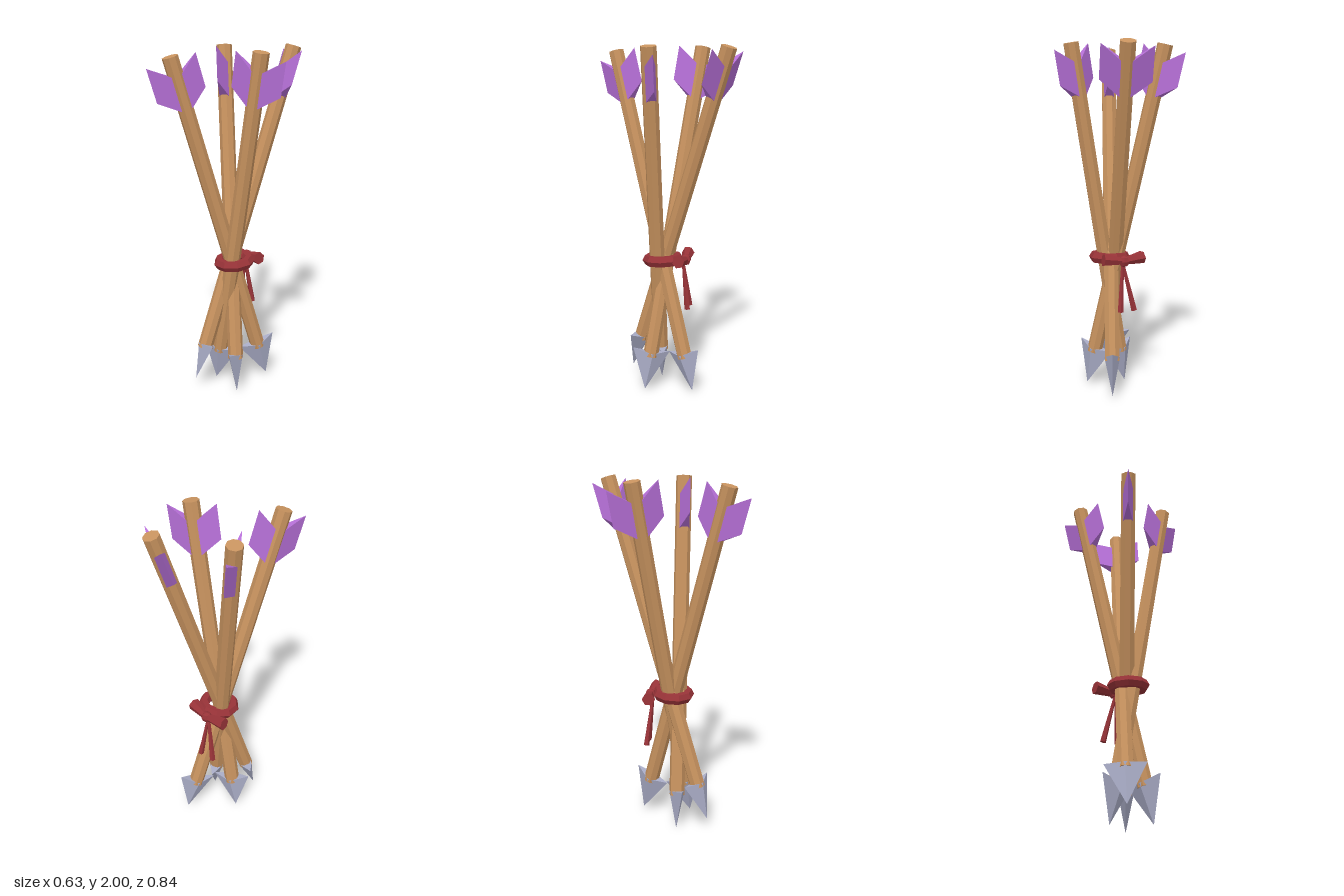
import * as THREE from 'three';

const paint = (name, color) => {
  const m = new THREE.MeshStandardMaterial({ color, flatShading: true });
  m.name = name;
  return m;
};
const V = (x, y, z) => new THREE.Vector3(x, y, z);

// Four-cornered section: wide corners on x at height yWide, thick corners on z at height yMid
const ring = (w, t, yWide, yMid) => [V(w, yWide, 0), V(0, yMid, t), V(-w, yWide, 0), V(0, yMid, -t)];

// Closed solid between two such sections, skipping faces that collapse to a point
function loft(bottom, top) {
  const tris = [
    [bottom[0], bottom[1], bottom[3]], [bottom[2], bottom[3], bottom[1]],
    [top[0], top[3], top[1]], [top[2], top[1], top[3]],
  ];
  for (let i = 0; i < 4; i++) {
    const j = (i + 1) % 4;
    tris.push([bottom[i], top[i], top[j]], [bottom[i], top[j], bottom[j]]);
  }
  const solid = tris.filter((t) => new THREE.Triangle(...t).getArea() > 1e-9);
  const g = new THREE.BufferGeometry().setFromPoints(solid.flat());
  g.computeVertexNormals();
  return g;
}

// Tapered round bar from a to b
function bar(a, b, ra, rb, sides) {
  const dir = b.clone().sub(a);
  const g = new THREE.CylinderGeometry(rb, ra, dir.length(), sides);
  g.applyQuaternion(new THREE.Quaternion().setFromUnitVectors(V(0, 1, 0), dir.normalize()));
  const c = a.clone().add(b).multiplyScalar(0.5);
  return g.translate(c.x, c.y, c.z);
}

export function createModel() {
  const wood = paint('wood', 0xc8935f);
  const feather = paint('purple feather', 0xb56fd6);
  const metal = paint('pale metal', 0xabaec8);
  const cord = paint('red cord', 0x983338);

  const model = new THREE.Group();
  model.name = 'arrowBundle';
  const add = (parent, name, geometry, material) => {
    const mesh = new THREE.Mesh(geometry, material);
    mesh.name = name;
    parent.add(mesh);
    return mesh;
  };

  // One arrow, standing on its tip
  const L = 2.015;
  const shaftGeo = new THREE.CylinderGeometry(0.044, 0.044, L - 0.2, 8);
  shaftGeo.rotateY(Math.PI / 8).translate(0, (L + 0.2) / 2, 0);
  const headGeo = loft(ring(0, 0, 0, 0), ring(0.112, 0.045, 0.24, 0.22));
  const vaneGeo = loft(ring(0.138, 0.036, L - 0.21, L - 0.31), ring(0.138, 0.036, L - 0.02, L - 0.12));

  // Tip, nock end, and direction in which the barbs and vanes spread
  const arrows = [
    [V(-0.165, 0.075, 0.22), V(0.088, 1.985, -0.35), V(0.83, 0, 0.55)],
    [V(0.06, 0.02, 0.11), V(-0.268, 1.975, -0.178), V(0.38, 0, 0.92)],
    [V(-0.16, 0.008, 0.04), V(0.183, 1.993, 0.06), V(0.95, 0, -0.3)],
    [V(0.06, 0.028, -0.17), V(-0.217, 1.965, 0.312), V(0.52, 0, -0.86)],
  ];
  for (const [tip, end, spread] of arrows) {
    const y = end.clone().sub(tip).normalize();
    const x = spread.clone().addScaledVector(y, -spread.dot(y)).normalize();
    const z = x.clone().cross(y);
    const arrow = new THREE.Group();
    arrow.name = 'arrow';
    arrow.position.copy(tip);
    arrow.quaternion.setFromRotationMatrix(new THREE.Matrix4().makeBasis(x, y, z));
    add(arrow, 'shaft', shaftGeo, wood);
    add(arrow, 'arrowhead', headGeo, metal);
    add(arrow, 'fletching', vaneGeo, feather);
    model.add(arrow);
  }

  // Cord around the middle
  const tie = new THREE.Group();
  tie.name = 'tie';
  model.add(tie);
  const loop = add(tie, 'cordRing', new THREE.TorusGeometry(0.087, 0.033, 6, 9), cord);
  loop.rotation.set(Math.PI / 2 + 0.06, 0.06, 0);
  loop.position.set(-0.037, 0.793, 0.015);

  // Knot with two bow loops and two hanging tails at the back
  const knot = V(-0.05, 0.79, -0.115);
  add(tie, 'knot', new THREE.SphereGeometry(0.033, 6, 4).translate(knot.x, knot.y, knot.z), cord);
  for (const p of [V(-0.175, 0.8, -0.115), V(0.068, 0.806, -0.085)]) {
    add(tie, 'bowLoop', bar(knot, p, 0.02, 0.037, 6), cord);
  }
  for (const p of [V(-0.107, 0.5, -0.135), V(-0.017, 0.5, -0.13)]) {
    add(tie, 'cordTail', bar(V(-0.05, 0.78, -0.1), p, 0.008, 0.017, 5), cord);
  }
  return model;
}
